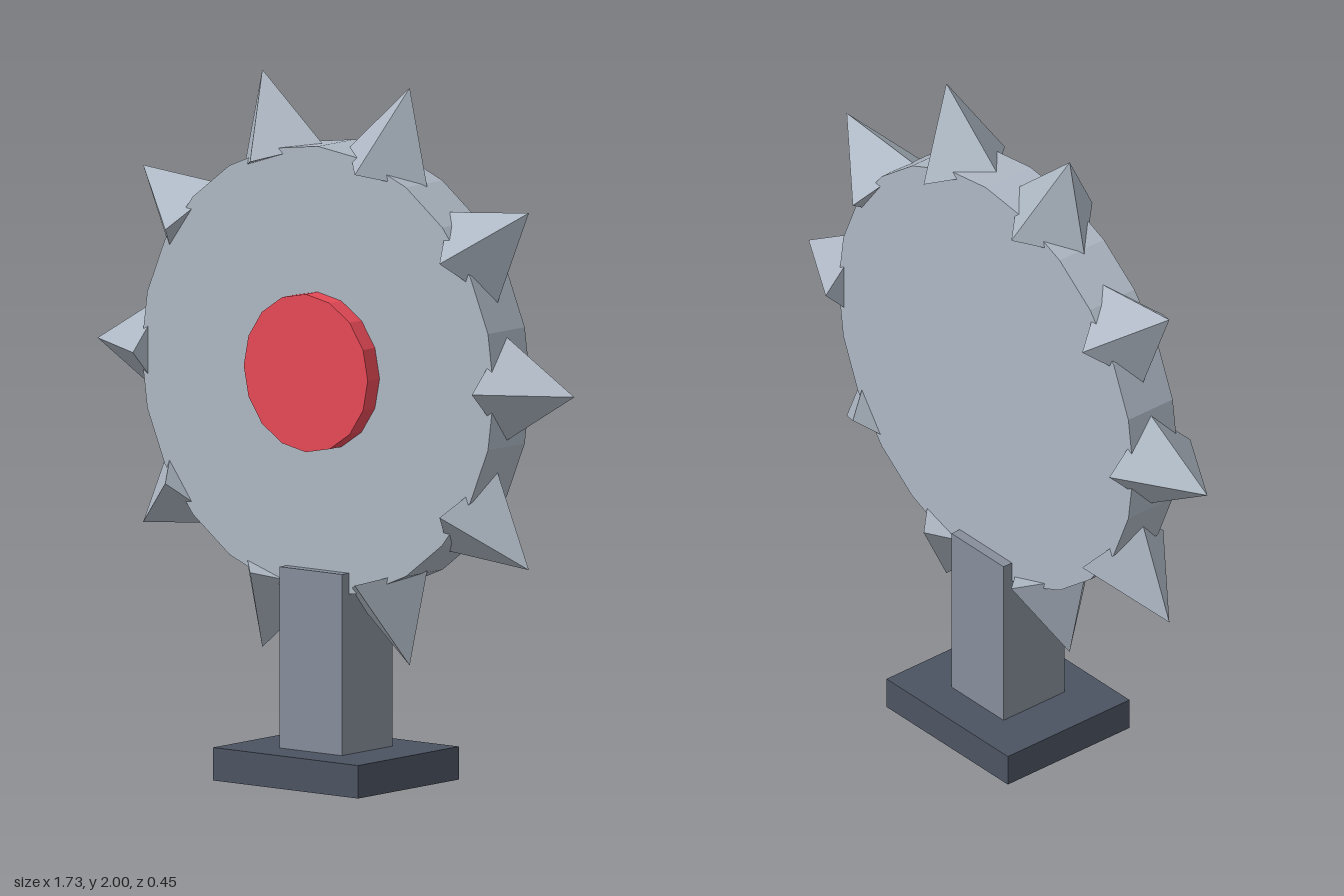
import * as THREE from 'three';

export function createModel() {
  const model = new THREE.Group();
  model.name = 'spikedWheelOnStand';

  const mat = (color) => new THREE.MeshStandardMaterial({ color, flatShading: true });
  const steel = mat(0xaeb8c4);
  const red = mat(0xe84a57);
  const postGrey = mat(0x868e9b);
  const baseGrey = mat(0x4c5361);

  const add = (parent, name, geometry, material, x, y, z) => {
    const mesh = new THREE.Mesh(geometry, material);
    mesh.name = name;
    mesh.position.set(x, y, z);
    parent.add(mesh);
    return mesh;
  };

  // Stand: flat foot and square post
  add(model, 'base', new THREE.BoxGeometry(0.526, 0.094, 0.45), baseGrey, 0, 0.047, 0);
  add(model, 'post', new THREE.BoxGeometry(0.226, 0.516, 0.226), postGrey, 0, 0.352, 0);

  // Wheel faces the front
  const wheel = new THREE.Group();
  wheel.name = 'wheel';
  wheel.position.y = 1.175;
  model.add(wheel);

  const discGeo = new THREE.CylinderGeometry(0.64, 0.64, 0.164, 24).rotateX(Math.PI / 2);
  add(wheel, 'disc', discGeo, steel, 0, 0, 0);

  // Raised hub on the front only
  const hubGeo = new THREE.CylinderGeometry(0.225, 0.225, 0.1, 16).rotateX(Math.PI / 2);
  add(wheel, 'hub', hubGeo, red, 0, 0, 0.085);

  // Ring of four-sided spikes, one corner of each towards the front
  const spikeCount = 10;
  const baseRadius = 0.615;
  const spikeLength = 0.25;
  const spikeGeo = new THREE.ConeGeometry(0.15, spikeLength, 4);
  const r = baseRadius + spikeLength / 2;
  for (let i = 0; i < spikeCount; i++) {
    const a = (i / spikeCount) * Math.PI * 2;
    const spike = add(wheel, 'spike', spikeGeo, steel, r * Math.cos(a), r * Math.sin(a), 0);
    spike.rotation.z = a - Math.PI / 2;
  }

  return model;
}
